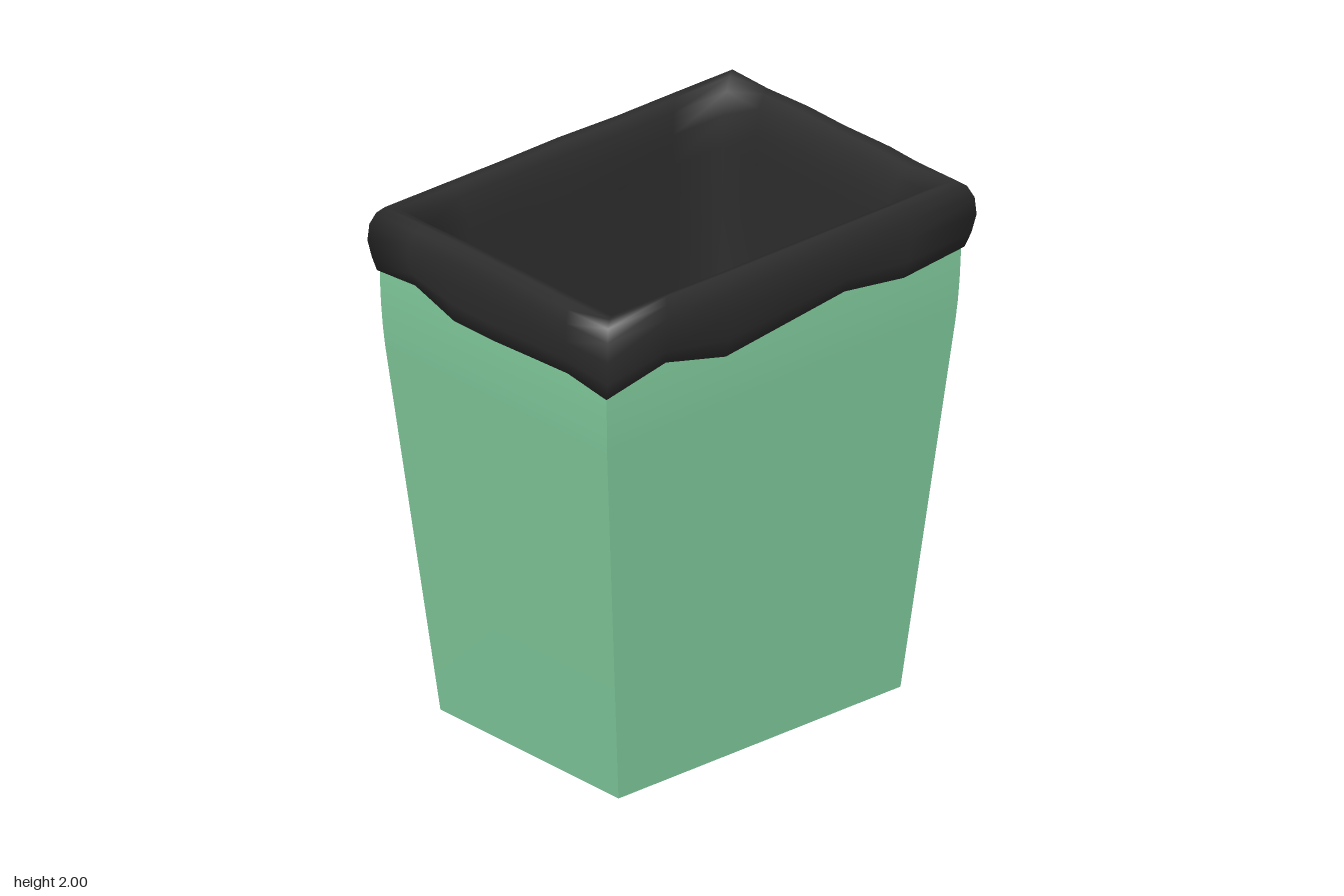
import * as THREE from 'three';

// Indexed grid surface from rows of [x, y, z] points
function gridSurface(rows) {
  const n = rows[0].length, index = [];
  for (let r = 0; r < rows.length - 1; r++) {
    for (let i = 0; i < n - 1; i++) {
      const a = r * n + i, b = a + 1, c = a + n, d = c + 1;
      index.push(a, b, d, a, d, c);
    }
  }
  const geo = new THREE.BufferGeometry();
  geo.setAttribute('position', new THREE.Float32BufferAttribute(rows.flat(2), 3));
  geo.setIndex(index);
  geo.computeVertexNormals();
  return geo;
}

// Tapered bin: [y, half width, half depth], nearly straight near the rim
const binRings = [
  [0, 0.475, 0.67], [1.45, 0.592, 0.828], [1.53, 0.598, 0.834],
  [1.62, 0.602, 0.839], [1.72, 0.605, 0.842], [1.9, 0.605, 0.842],
];

function makeBin(material) {
  const bin = new THREE.Group();
  bin.name = 'bin';
  // corners counter-clockwise seen from above, one hard-edged strip per wall
  const corners = [[-1, 1], [1, 1], [1, -1], [-1, -1]];
  ['frontWall', 'leftWall', 'backWall', 'rightWall'].forEach((name, s) => {
    const ends = [corners[s], corners[(s + 1) % 4]];
    const rows = binRings.map(([y, w, d]) => ends.map(([sx, sz]) => [sx * w, y, sz * d]));
    const wall = new THREE.Mesh(gridSurface(rows), material);
    wall.name = name;
    bin.add(wall);
  });
  const base = new THREE.Mesh(new THREE.PlaneGeometry(0.95, 1.34), material);
  base.rotation.x = Math.PI / 2;
  base.name = 'base';
  bin.add(base);
  return bin;
}

// Ragged hem heights and outward bulge of the bag along each side
const sides = [
  { from: [-1, 1], to: [1, 1], // front
    hem: [1.75, 1.765, 1.70, 1.70, 1.71, 1.72],
    bulge: [0.87, 0.87, 0.86, 0.865, 0.87, 0.88] },
  { from: [1, 1], to: [1, -1], // left
    hem: [1.69, 1.745, 1.675, 1.71, 1.745, 1.705],
    bulge: [0.645, 0.64, 0.645, 0.64, 0.635, 0.63] },
  { from: [1, -1], to: [-1, -1], // back
    hem: [1.735, 1.70, 1.71, 1.72, 1.74, 1.70],
    bulge: [0.885, 0.875, 0.89, 0.875, 0.885, 0.86] },
  { from: [-1, -1], to: [-1, 1], // right
    hem: [1.70, 1.77, 1.71, 1.765, 1.745, 1.705],
    bulge: [0.635, 0.635, 0.63, 0.65, 0.64, 0.64] },
];

// Bag cross-section from the tucked hem, over the roll, to the floor.
// y, half width, half depth, share of the hem offset, share of the bulge offset
const bagProfile = [
  [1.74, 0.585, 0.82, 1, 0], [1.72, 0.612, 0.85, 1, 0.2], [1.78, 0.628, 0.862, 0.7, 0.7],
  [1.86, 0.64, 0.873, 0.2, 1], [1.93, 0.635, 0.868, 0, 1], [1.975, 0.618, 0.85, 0, 0.8],
  [1.997, 0.598, 0.825, 0, 0.5], [1.99, 0.572, 0.79, 0, 0.4], [1.95, 0.55, 0.755, 0, 0.4],
  [1.87, 0.535, 0.73, 0, 0.4], [1.75, 0.53, 0.72, 0, 0], [1.5, 0.525, 0.715, 0, 0],
  [0.5, 0.49, 0.655, 0, 0], [0.1, 0.47, 0.625, 0, 0], [0.1, 0.24, 0.32, 0, 0],
  [0.1, 0, 0, 0, 0],
];

function bagRow([y, w, d, hemShare, bulgeShare]) {
  const row = [];
  sides.forEach(({ from, to, hem, bulge }, s) => {
    const alongX = s % 2 === 0;
    const steps = hem.length;
    for (let i = 0; i < steps; i++) {
      const t = i / steps;
      const px = from[0] + (to[0] - from[0]) * t, pz = from[1] + (to[1] - from[1]) * t;
      const push = (bulge[i] - (alongX ? 0.873 : 0.64)) * bulgeShare;
      row.push([
        px * w + (alongX ? 0 : push * from[0]),
        y + (hem[i] - 1.72) * hemShare,
        pz * d + (alongX ? push * from[1] : 0),
      ]);
    }
  });
  row.push([...row[0]]);
  return row;
}

function makeBag(material) {
  const rows = bagProfile.map(bagRow);
  const geo = gridSurface(rows);
  // match the normals where the loop closes
  const nor = geo.attributes.normal, n = rows[0].length, v = new THREE.Vector3();
  rows.forEach((_, r) => {
    const a = r * n, b = a + n - 1;
    v.set(nor.getX(a) + nor.getX(b), nor.getY(a) + nor.getY(b), nor.getZ(a) + nor.getZ(b)).normalize();
    nor.setXYZ(a, v.x, v.y, v.z);
    nor.setXYZ(b, v.x, v.y, v.z);
  });
  const bag = new THREE.Mesh(geo, material);
  bag.name = 'binBag';
  return bag;
}

export function createModel() {
  const model = new THREE.Group();
  model.name = 'wasteBin';
  model.add(makeBin(new THREE.MeshStandardMaterial({ color: 0x85d2a2 })));
  model.add(makeBag(new THREE.MeshStandardMaterial({ color: 0x2d2d2d, side: THREE.DoubleSide })));
  return model;
}
